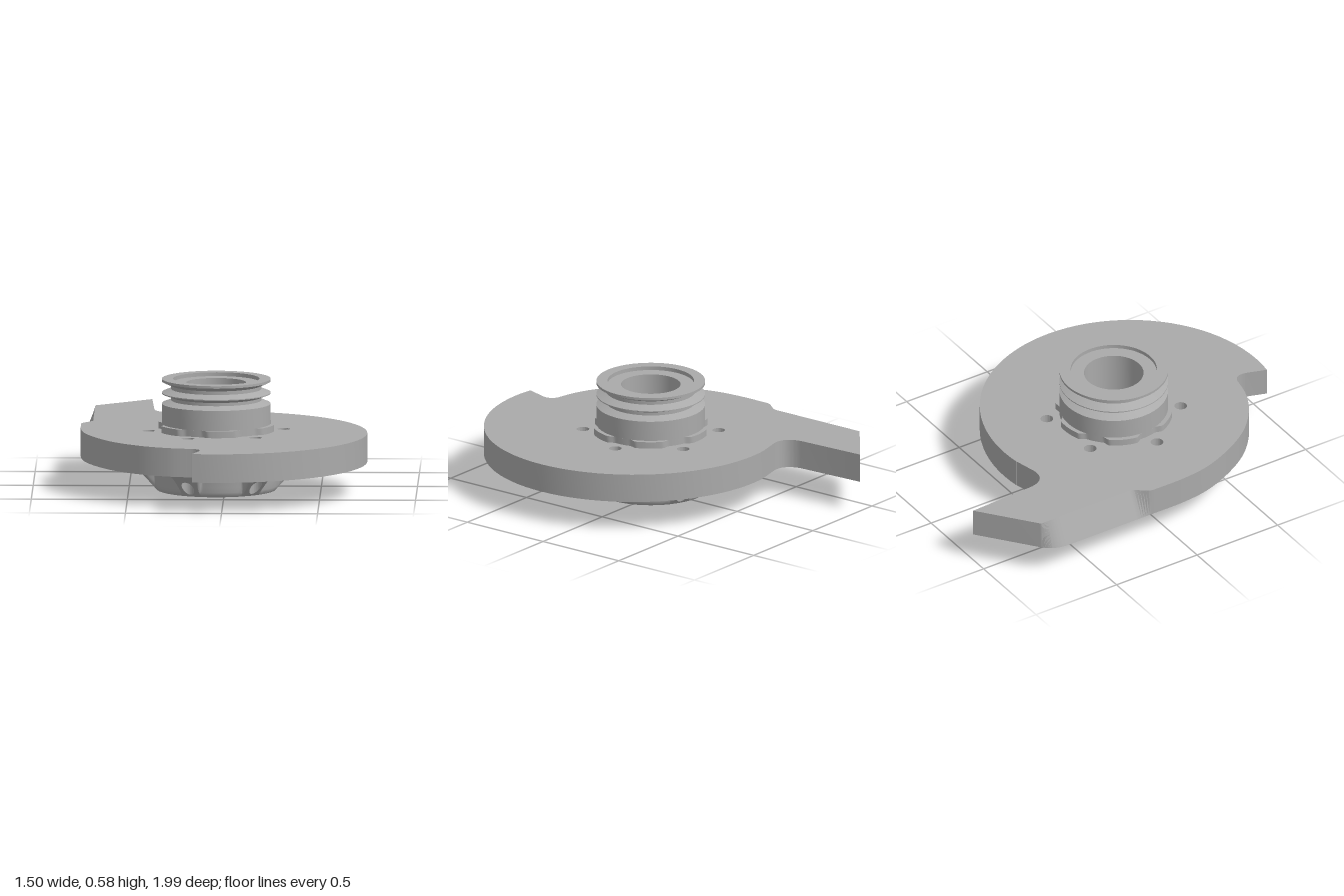
import * as THREE from 'three';
import { mergeGeometries, toCreasedNormals } from 'three/addons/utils/BufferGeometryUtils.js';

const HUB_X = -0.045, HUB_Z = 0.105;
const BORE = 0.155, BOLT_R = 0.353, HOLE = 0.033;
const DEG = Math.PI / 180;
const boltAngles = [0, 1, 2, 3, 4, 5].map((k) => (-6.5 + 60 * k) * DEG);
const smooth = THREE.MathUtils.smoothstep;
const range = (a, b, n) => Array.from({ length: n + 1 }, (_, i) => a + (b - a) * i / n);

// Surface through rows of points
function loft(rows) {
  const w = rows[0].length, index = [];
  for (let j = 0; j < rows.length - 1; j++) {
    for (let i = 0; i < w - 1; i++) {
      const a = j * w + i, b = a + w;
      index.push(a, a + 1, b, a + 1, b + 1, b);
    }
  }
  const g = new THREE.BufferGeometry().setFromPoints(rows.flat());
  g.setIndex(index);
  return g;
}

function circleHole(x, y, r) {
  return new THREE.Path().absarc(x, y, r, 0, Math.PI * 2, true);
}

// Cutter plate: spiral outline, drilled, with a bevel along the arm's outer edge
function plateGeometry() {
  const s = new THREE.Shape();
  s.moveTo(-0.4, 1);
  s.lineTo(-0.382, 0.63);
  s.bezierCurveTo(-0.375, 0.56, -0.335, 0.525, -0.27, 0.535);
  s.lineTo(-0.149, 0.564);
  s.absarc(-0.04, -0.21, 0.783, 98 * DEG, -98.4 * DEG, true);
  s.lineTo(-0.118, -0.875);
  s.bezierCurveTo(-0.11, -0.83, -0.125, -0.807, -0.16, -0.8);
  s.splineThru([[-0.285, -0.77], [-0.42, -0.7], [-0.555, -0.577], [-0.655, -0.42],
    [-0.725, -0.245], [-0.75, -0.08], [-0.752, 0.1]].map((p) => new THREE.Vector2(...p)));
  for (const z of range(0.12, 0.22, 8)) s.lineTo(-0.752, z);
  s.lineTo(-0.752, 0.62);
  s.bezierCurveTo(-0.752, 0.69, -0.735, 0.73, -0.69, 0.77);
  s.closePath();
  s.holes.push(circleHole(HUB_X, -HUB_Z, BORE));
  for (const a of boltAngles) {
    s.holes.push(circleHole(HUB_X + BOLT_R * Math.cos(a), -HUB_Z - BOLT_R * Math.sin(a), HOLE));
  }
  const g = new THREE.ExtrudeGeometry(s, { depth: 0.15, bevelEnabled: false, curveSegments: 24 });
  const p = g.attributes.position;
  for (let i = 0; i < p.count; i++) {
    if (p.getZ(i) < 0.1 || p.getY(i) < 0.1) continue;
    const edge = -0.752 + 0.06 * smooth(p.getY(i), 0.11, 0.22);
    p.setX(i, Math.max(p.getX(i), edge));
  }
  g.rotateX(-Math.PI / 2).translate(0, 0.16, 0);
  return toCreasedNormals(g, 0.5);
}

// Underside height of the flange: flat ring, cone and six pockets between bolts
function flangeHeight(r, phi) {
  const cone = THREE.MathUtils.clamp((r - 0.31) / 0.11, 0, 1) * 0.12;
  const pocket = smooth(Math.abs(phi) / DEG, 9, 12.5) * smooth(r, 0.319, 0.338);
  return THREE.MathUtils.lerp(cone, Math.max(cone, 0.114), pocket);
}

function flangeGeometry() {
  const parts = [];
  const radii = [BORE, 0.25, 0.31, ...range(0.319, 0.338, 5), 0.36, 0.38, 0.396, 0.405, 0.4145, 0.42];
  for (const a of boltAngles) {
    const at = (r, phi, y = flangeHeight(r, phi)) =>
      new THREE.Vector3(r * Math.cos(a + phi), y, r * Math.sin(a + phi));
    const patch = (rs, angles, rim) => {
      const rows = rs.map((r) => angles.map((d) => at(r, d * DEG)));
      if (rim) rows.push(angles.map((d) => at(0.42, d * DEG, 0.16)));
      parts.push(loft(rows));
    };
    const side = [7.5, ...range(9, 12.5, 5), 15, 18, 21, 24, 27, 30];
    const middle = range(-7.5, 7.5, 6);
    patch(radii, side, true);
    patch(radii, side.map((d) => -d).reverse(), true);
    patch(radii.filter((r) => r <= 0.31), middle, false);
    patch(radii.filter((r) => r >= 0.396), middle, true);
    // Rib face around the bolt hole, then the hole wall
    const ring = range(0, Math.PI * 2, 40);
    const outer = ring.map((t) => {
      const k = 1 / Math.max(Math.abs(Math.cos(t)) / 0.043, Math.abs(Math.sin(t)) / (7.5 * DEG));
      return at(BOLT_R + k * Math.cos(t), k * Math.sin(t));
    });
    const hole = (y) => ring.map((t) =>
      at(BOLT_R + HOLE * Math.cos(t), HOLE * Math.sin(t) / BOLT_R, y));
    parts.push(loft([outer, hole(), hole(0.16)]));
  }
  return toCreasedNormals(mergeGeometries(parts), 0.6);
}

// Scalloped collar, relieved beside each bolt
function collarGeometry() {
  const pts = range(0, 360, 180).slice(0, -1).map((d) => {
    const phi = ((d % 60) + 60) % 60;
    const off = Math.min(phi, 60 - phi);
    const r = 0.283 + 0.023 * smooth(off, 9, 17);
    const t = (d - 6.5) * DEG;
    return new THREE.Vector2(r * Math.cos(t), -r * Math.sin(t));
  });
  const s = new THREE.Shape(pts);
  s.holes.push(circleHole(0, 0, 0.2));
  const g = new THREE.ExtrudeGeometry(s, { depth: 0.04, bevelEnabled: false, curveSegments: 24 });
  g.rotateX(-Math.PI / 2).translate(0, 0.305, 0);
  return toCreasedNormals(g, 0.6);
}

// Grooved pulley with a recessed top face and the through bore
function pulleyGeometry() {
  const profile = [
    [BORE, 0], [BORE, 0.56], [0.225, 0.56], [0.225, 0.58], [0.283, 0.58], [0.283, 0.567],
    [0.235, 0.546], [0.235, 0.527], [0.283, 0.508], [0.283, 0.503], [0.235, 0.485],
    [0.235, 0.468], [0.283, 0.45], [0.283, 0.305],
  ].map((p) => new THREE.Vector2(...p)).reverse();
  return toCreasedNormals(new THREE.LatheGeometry(profile, 72), 0.3);
}

export function createModel() {
  const steel = new THREE.MeshStandardMaterial({ color: 0xaaaaaa, side: THREE.DoubleSide });
  steel.name = 'grey steel';
  const model = new THREE.Group();
  model.name = 'cutterWheel';
  const hub = new THREE.Group();
  hub.name = 'hub';
  hub.position.set(HUB_X, 0, HUB_Z);
  const add = (parent, name, geometry) => {
    const mesh = new THREE.Mesh(geometry, steel);
    mesh.name = name;
    parent.add(mesh);
  };
  add(model, 'cutterPlate', plateGeometry());
  add(hub, 'lowerFlange', flangeGeometry());
  add(hub, 'scallopedCollar', collarGeometry());
  add(hub, 'groovedPulley', pulleyGeometry());
  model.add(hub);
  return model;
}
